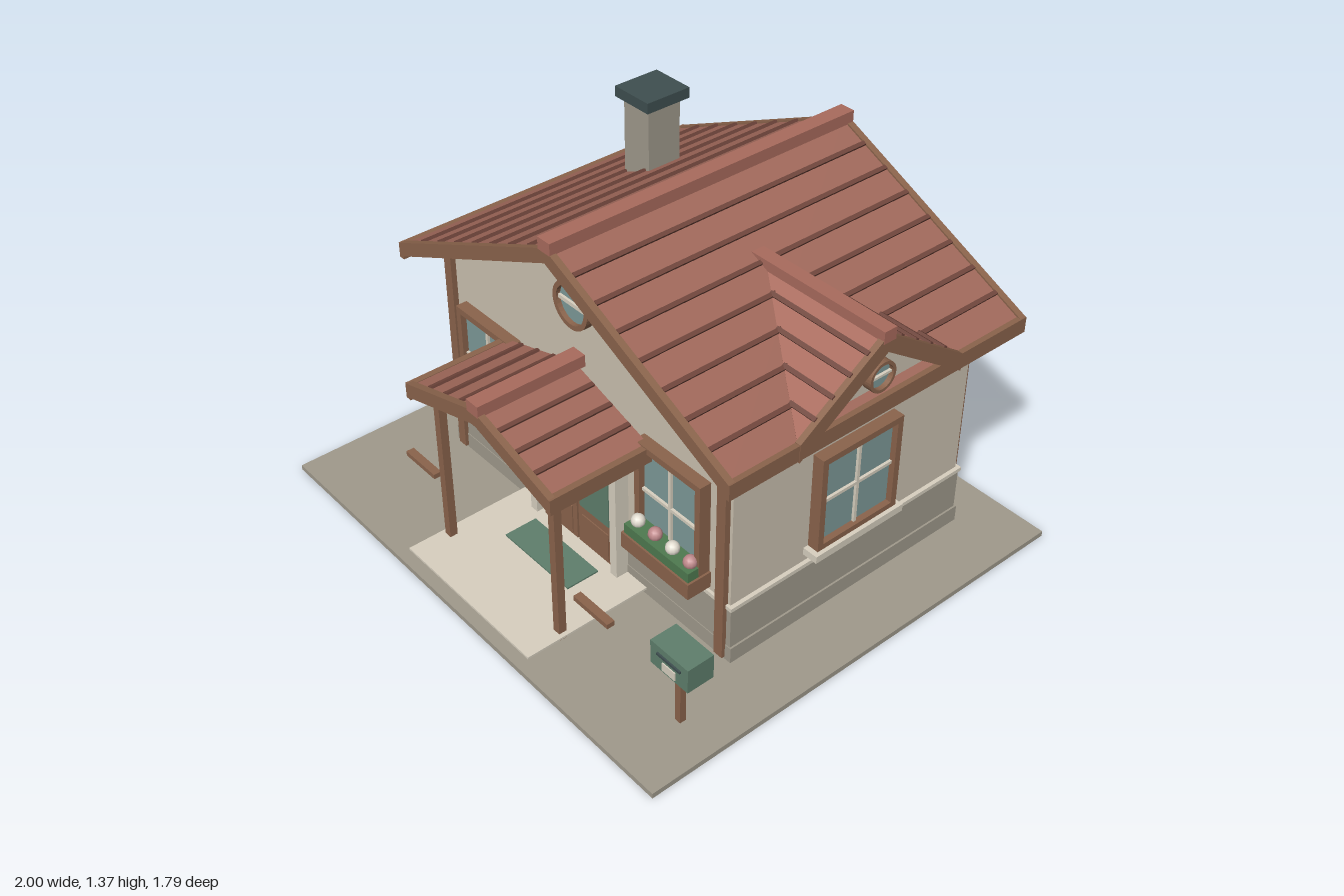
import * as THREE from 'three';

const C = {
  wall: 0xcbc1b0, stone: 0xa09a8c, wood: 0x8b644c, roof: 0xa0685a, batten: 0x6f453b, ridge: 0xa96b5d,
  glass: 0x7e9a99, cream: 0xd8d0c0, green: 0x5f7f6c, leaf: 0x4f7a50, dark: 0x3f4f50, pink: 0xc08a8c,
  white: 0xe2dcd0, brass: 0xa8843f,
};
const mats = {};
const mat = (c) => (mats[c] ??= new THREE.MeshStandardMaterial({ color: C[c] }));

function add(parent, name, geo, color) {
  const m = new THREE.Mesh(geo, mat(color));
  m.name = name;
  parent.add(m);
  return m;
}

// Box given by its limits on each axis
function box(parent, name, color, x0, x1, y0, y1, z0, z1) {
  const m = add(parent, name, new THREE.BoxGeometry(x1 - x0, y1 - y0, z1 - z0), color);
  m.position.set((x0 + x1) / 2, (y0 + y1) / 2, (z0 + z1) / 2);
  return m;
}

function group(parent, name, x = 0, y = 0, z = 0, ry = 0) {
  const g = new THREE.Group();
  g.name = name;
  g.position.set(x, y, z);
  g.rotation.y = ry;
  parent.add(g);
  return g;
}

// Upright polygon extruded from z0 to z1
function prism(parent, name, color, pts, z0, z1) {
  const shape = new THREE.Shape(pts.map((p) => new THREE.Vector2(...p)));
  const geo = new THREE.ExtrudeGeometry(shape, { depth: z1 - z0, bevelEnabled: false });
  return add(parent, name, geo.translate(0, 0, z0), color);
}

// Two sloping boards meeting at the ridge
function chevron(parent, name, color, w, top, slope, th, z0, z1) {
  const e = top - slope * w;
  return prism(parent, name, color,
    [[0, top], [-w, e], [-w, e - th], [0, top - th], [w, e - th], [w, e]], z0, z1);
}

// Strip lying on a roof slope, running along z
function batten(parent, x, top, slope, z0, z1) {
  const m = box(parent, 'roofBatten', 'batten', -0.008, 0.008, -0.006, 0.012, z0, z1);
  m.position.set(x, top - slope * Math.abs(x), (z0 + z1) / 2);
  m.rotation.z = -Math.sign(x) * Math.atan(slope);
}

// Gable roof with barge boards, eave boards, battens and ridge cap
function gableRoof(parent, name, o) {
  const g = group(parent, name);
  const { w, top, slope, z0, z1, capTop } = o;
  const e = top - slope * w;
  chevron(g, 'roofPanels', 'roof', w - 0.015, top - 0.005, slope, 0.035, z0 + 0.02, z1 - 0.02);
  for (const [a, b] of o.barges) chevron(g, 'bargeBoard', 'wood', w, top + 0.002, slope, 0.055, a, b);
  for (const s of [-1, 1]) {
    const x = s * (w - 0.011);
    box(g, 'eaveBoard', 'wood', x - 0.012, x + 0.012, e - 0.055, e + 0.004, z0, z1);
    for (let i = 0; i < o.rows; i++) batten(g, s * (o.first + i * o.step), top - 0.005, slope, z0 + 0.025, z1 - 0.025);
  }
  box(g, 'ridgeCap', 'ridge', -0.03, 0.03, capTop - 0.045, capTop, z0, z1);
}

// Four-pane window facing +z; origin at its centre on the wall
function windowUnit(parent, name, w, h, x, y, z, ry, sill) {
  const g = group(parent, name, x, y, z, ry);
  const a = w / 2, b = h / 2, t = 0.024;
  for (const s of [-1, 1]) {
    box(g, 'frameSide', 'wood', s * (a - t / 2) - t / 2, s * (a - t / 2) + t / 2, -b, b, -0.01, 0.045);
    box(g, 'frameRail', 'wood', -a + t, a - t, s * (b - t / 2) - t / 2, s * (b - t / 2) + t / 2, -0.01, 0.045);
  }
  box(g, 'glass', 'glass', -a + t, a - t, -b + t, b - t, -0.01, 0.022);
  box(g, 'mullion', 'cream', -0.006, 0.006, -b + t, b - t, 0.01, 0.032);
  box(g, 'crossBar', 'cream', -a + t, a - t, -0.006, 0.006, 0.01, 0.032);
  if (sill) box(g, 'sill', 'cream', -a - 0.02, a + 0.02, -b - 0.025, -b + 0.003, -0.01, 0.06);
}

// Round gable window facing +z
function roundWindow(parent, r, x, y, z, ry) {
  const g = group(parent, 'roundWindow', x, y, z, ry);
  const ring = new THREE.Shape().absarc(0, 0, r, 0, Math.PI * 2);
  ring.holes.push(new THREE.Path().absarc(0, 0, r * 0.8, 0, Math.PI * 2, true));
  add(g, 'ring', new THREE.ExtrudeGeometry(ring, { depth: 0.04, bevelEnabled: false, curveSegments: 16 }).translate(0, 0, -0.01), 'wood');
  add(g, 'pane', new THREE.CylinderGeometry(r * 0.82, r * 0.82, 0.025, 28).rotateX(Math.PI / 2), 'glass');
  box(g, 'crossBar', 'cream', -r * 0.8, r * 0.8, -r * 0.08, r * 0.08, 0, 0.022);
}

// Dormer built facing +z, then turned to face +x
function dormer(parent) {
  const g = group(parent, 'dormer', 0, 0, -0.158, Math.PI / 2);
  const w = 0.355, top = 1.13, slope = 0.68, front = 0.84, back = 0.31;
  for (const s of [-1, 1]) {
    const tri = new THREE.Shape([[0, front], [s * w, front], [0, back]].map((p) => new THREE.Vector2(...p)));
    const geo = new THREE.ExtrudeGeometry(tri, { depth: 0.035, bevelEnabled: false }).rotateX(Math.PI / 2);
    const p = geo.attributes.position;
    for (let i = 0; i < p.count; i++) p.setY(i, top + p.getY(i) - slope * Math.abs(p.getX(i)));
    geo.computeVertexNormals();
    add(g, 'dormerRoof', geo, 'ridge');
    for (let d = 0.07; d < 0.33; d += 0.07) batten(g, s * d, top, slope, back + (front - back) * d / w, front);
  }
  chevron(g, 'dormerBarge', 'wood', w, top + 0.004, slope, 0.068, 0.83, 0.853);
  prism(g, 'dormerGable', 'wall', [[-0.3, 0.88], [0.3, 0.88], [0, 1.09]], 0.74, 0.805);
  box(g, 'dormerRidge', 'ridge', -0.026, 0.026, 1.105, 1.15, 0.275, 0.855);
  roundWindow(g, 0.056, 0, 0.965, 0.812, 0);
}

// Planter with flowers below a front window
function flowerBox(parent, x) {
  const g = group(parent, 'flowerBox', x, 0, 0);
  box(g, 'planter', 'wood', -0.165, 0.165, 0.275, 0.337, 0.35, 0.452);
  box(g, 'foliage', 'leaf', -0.157, 0.157, 0.335, 0.375, 0.36, 0.445);
  for (let i = 0; i < 4; i++) {
    const f = add(g, 'flower', new THREE.SphereGeometry(0.025, 12, 8), i % 2 ? 'pink' : 'white');
    f.position.set(-0.127 + i * 0.085, 0.388, 0.41);
  }
}

export function createModel() {
  const root = new THREE.Group();
  root.name = 'cottage';

  // Ground and masonry
  box(root, 'ground', 'stone', -1, 1, 0, 0.02, -0.895, 0.895);
  box(root, 'footing', 'stone', -0.757, 0.757, 0.02, 0.083, -0.708, 0.363);
  box(root, 'plinth', 'stone', -0.75, 0.75, 0.08, 0.247, -0.702, 0.36);
  box(root, 'plinthTrim', 'cream', -0.757, 0.757, 0.245, 0.26, -0.708, 0.366);
  prism(root, 'walls', 'wall', [[-0.742, 0.2], [0.742, 0.2], [0.742, 0.88], [0, 1.235], [-0.742, 0.88]], -0.695, 0.355);

  // Main roof, dormer and chimney
  gableRoof(root, 'mainRoof', {
    w: 0.85, top: 1.28, slope: 0.463, z0: -0.825, z1: 0.477, capTop: 1.31,
    barges: [[-0.825, -0.8], [0.452, 0.477]], rows: 7, first: 0.11, step: 0.104,
  });
  dormer(root);
  box(root, 'chimney', 'stone', -0.53, -0.4, 0.95, 1.33, -0.415, -0.275);
  box(root, 'chimneyCap', 'dark', -0.55, -0.377, 1.327, 1.367, -0.438, -0.252);

  // Corner posts and rear beam
  for (const s of [-1, 1]) {
    box(root, 'frontPost', 'wood', s * 0.71 - 0.02, s * 0.71 + 0.02, 0.03, 0.87, 0.34, 0.376);
    box(root, 'backPost', 'wood', s * 0.71 - 0.02, s * 0.71 + 0.02, 0.05, 0.87, -0.715, -0.682);
  }
  box(root, 'backBeam', 'wood', -0.72, 0.72, 0.745, 0.785, -0.715, -0.685);

  // Windows
  for (const s of [-1, 1]) {
    windowUnit(root, 'frontWindow', 0.315, 0.39, s * 0.483, 0.505, 0.355, 0, false);
    windowUnit(root, 'sideWindow', 0.36, 0.38, s * 0.742, 0.505, -0.16, s * Math.PI / 2, true);
    windowUnit(root, 'backWindow', 0.32, 0.33, s * 0.39, 0.515, -0.695, Math.PI, true);
    flowerBox(root, s * 0.483);
  }
  roundWindow(root, 0.088, 0, 1.03, 0.357, 0);
  roundWindow(root, 0.088, 0, 1.03, -0.697, Math.PI);

  // Double door with surround
  const door = group(root, 'door');
  box(door, 'doorFrame', 'dark', -0.205, 0.205, 0.02, 0.61, 0.34, 0.375);
  box(door, 'lintel', 'cream', -0.235, 0.235, 0.61, 0.65, 0.34, 0.405);
  for (const s of [-1, 1]) {
    const slab = (name, color, x, w, y0, y1, z0, z1) =>
      box(door, name, color, s * x - w / 2, s * x + w / 2, y0, y1, z0, z1);
    slab('doorLeaf', 'wood', 0.098, 0.186, 0.025, 0.598, 0.35, 0.385);
    slab('doorPanel', 'green', 0.098, 0.155, 0.22, 0.53, 0.36, 0.391);
    slab('lowerPanel', 'wood', 0.098, 0.14, 0.06, 0.18, 0.36, 0.389);
    slab('handle', 'brass', 0.024, 0.012, 0.265, 0.335, 0.38, 0.41);
    slab('pilaster', 'cream', 0.222, 0.034, 0.02, 0.61, 0.34, 0.41);
    slab('cornerBlock', 'cream', 0.225, 0.05, 0.605, 0.652, 0.34, 0.413);
  }

  // Porch
  const porch = group(root, 'porch');
  gableRoof(porch, 'porchRoof', {
    w: 0.387, top: 0.81, slope: 0.305, z0: 0.355, z1: 0.778, capTop: 0.84,
    barges: [[0.753, 0.778]], rows: 3, first: 0.1, step: 0.09,
  });
  box(porch, 'porchBeam', 'wood', -0.32, 0.32, 0.675, 0.705, 0.69, 0.72);
  for (const s of [-1, 1]) {
    box(porch, 'porchPost', 'wood', s * 0.308 - 0.015, s * 0.308 + 0.015, 0.02, 0.7, 0.69, 0.72);
    box(porch, 'sideBoard', 'wood', s * 0.473 - 0.085, s * 0.473 + 0.085, 0.243, 0.262, 0.675, 0.705);
  }
  box(porch, 'porchSlab', 'cream', -0.34, 0.34, 0.042, 0.05, 0.36, 0.86);
  box(porch, 'doormat', 'green', -0.175, 0.175, 0.048, 0.056, 0.44, 0.57);

  // Letter box on its post
  const post = group(root, 'letterBox');
  box(post, 'stake', 'wood', 0.82, 0.845, 0.02, 0.245, 0.628, 0.652);
  box(post, 'case', 'green', 0.745, 0.918, 0.238, 0.332, 0.583, 0.687);
  box(post, 'slot', 'dark', 0.78, 0.887, 0.298, 0.307, 0.68, 0.693);
  box(post, 'plate', 'cream', 0.803, 0.862, 0.248, 0.28, 0.68, 0.691);

  return root;
}
